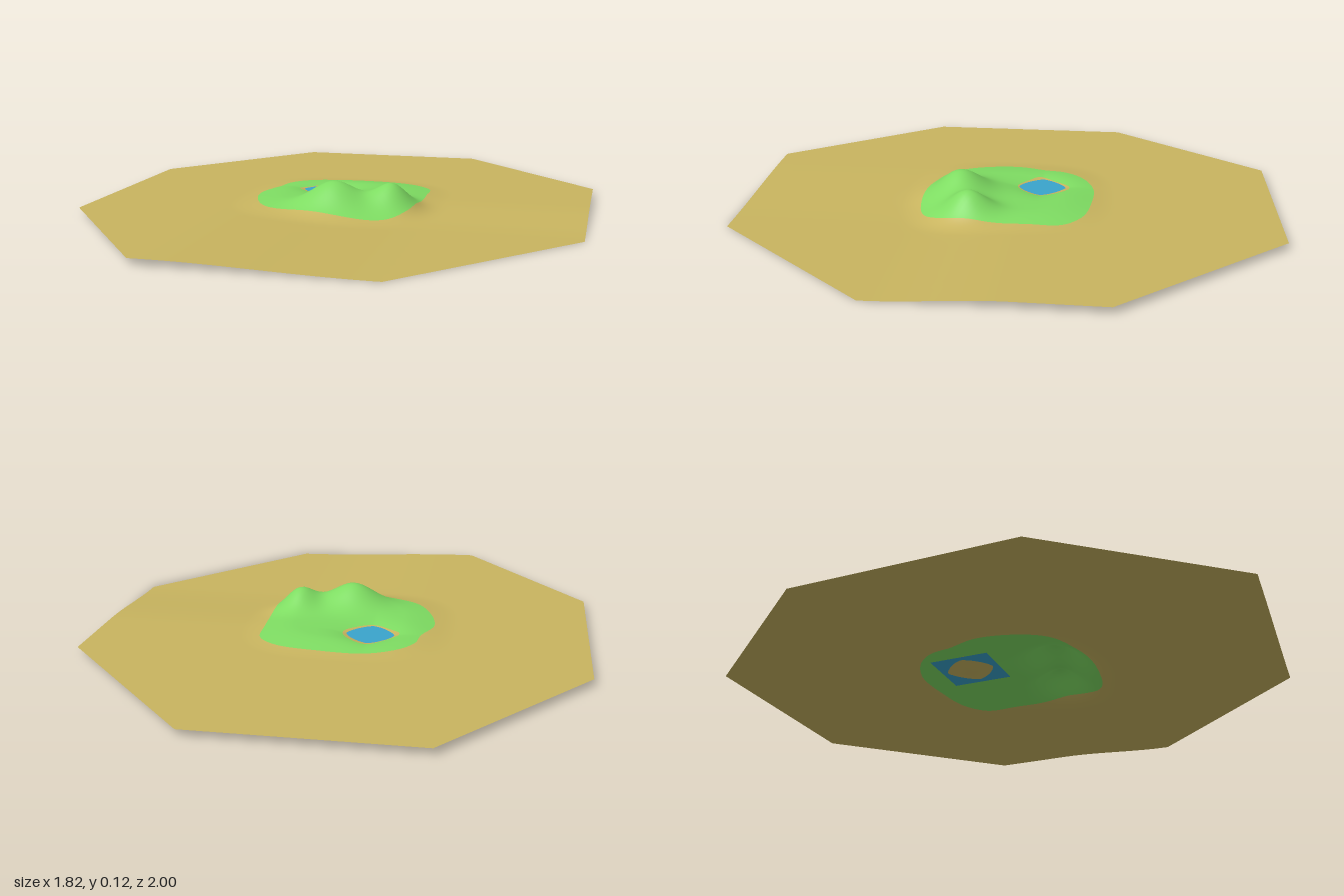
import * as THREE from 'three';

const material = (name, color) => Object.assign(
  new THREE.MeshStandardMaterial({ color, side: THREE.DoubleSide }), { name });

// Pond centre, which is also the hub of the surface loops
const PX = -0.113, PZ = -0.122, WATER_Y = 0.032;

const gauss = (x, z, cx, cz, sx, sz) =>
  Math.exp(-((x - cx) ** 2) / (2 * sx * sx) - ((z - cz) ** 2) / (2 * sz * sz));
const norm = (a, b, p) => (Math.abs(a) ** p + Math.abs(b) ** p) ** (1 / p);

// Height of the land: plain, raised meadow, two hilltops and a pond basin
function height(x, z) {
  const { smoothstep } = THREE.MathUtils;
  const plain = 0.028 - 0.023 * smoothstep(x, -0.4, 0.35) * smoothstep(z, -0.1, 0.37);
  const meadow = 0.02 * (1 - smoothstep(norm(x + 0.02, z, 3), 0.2, 0.4));
  const hills = 0.089 * gauss(x, z, 0, 0.18, 0.082, 0.075)
    + 0.079 * gauss(x, z, 0.2, 0.125, 0.055, 0.065);
  const d = norm(x - PX, z - PZ, 1.4);
  return plain + meadow + hills - 0.03 * Math.exp(-d * d / (2 * 0.08 * 0.08));
}

const toPoints = (list) => list.map(([x, z]) => new THREE.Vector2(x, z));
const smoothLoop = (list) => new THREE.CatmullRomCurve3(
  list.map(([x, z]) => new THREE.Vector3(x, 0, z)), true)
  .getPoints(120).slice(0, -1).map((p) => new THREE.Vector2(p.x, p.z));

// Distance from the hub to a loop along a given angle
function reach(loop, angle) {
  const dx = Math.cos(angle), dz = Math.sin(angle);
  let best = 0;
  loop.forEach((a, i) => {
    const b = loop[(i + 1) % loop.length];
    const ex = b.x - a.x, ez = b.y - a.y, ax = a.x - PX, az = a.y - PZ;
    const det = dx * ez - dz * ex;
    if (Math.abs(det) < 1e-9) return;
    const t = (ax * ez - az * ex) / det;
    const s = (ax * dz - az * dx) / det;
    if (s >= -1e-6 && s <= 1 + 1e-6) best = Math.max(best, t);
  });
  return best;
}

// Land between two loops of radii, following the height rule
function landBand(angles, inner, outer, rings, power) {
  const pos = [], nor = [], idx = [], n = angles.length, e = 0.003;
  for (let j = 0; j <= rings; j++) {
    const t = (j / rings) ** power;
    angles.forEach((a, i) => {
      const r = inner[i] + (outer[i] - inner[i]) * t;
      const x = PX + r * Math.cos(a), z = PZ + r * Math.sin(a);
      pos.push(x, height(x, z), z);
      const normal = new THREE.Vector3(
        height(x - e, z) - height(x + e, z), 2 * e,
        height(x, z - e) - height(x, z + e)).normalize();
      nor.push(normal.x, normal.y, normal.z);
      if (j === rings) return;
      const k = (i + 1) % n, p = j * n, q = p + n;
      idx.push(p + i, p + k, q + i, p + k, q + k, q + i);
    });
  }
  const geo = new THREE.BufferGeometry();
  geo.setAttribute('position', new THREE.Float32BufferAttribute(pos, 3));
  geo.setAttribute('normal', new THREE.Float32BufferAttribute(nor, 3));
  geo.setIndex(idx);
  return geo;
}

export function createModel() {
  const sand = material('sand', 0xc8b45f);
  const grass = material('grass', 0x7edc62);
  const water = material('water', 0x3aa4cc);
  const group = new THREE.Group();
  group.name = 'island';
  const add = (name, geo, mat) => {
    const mesh = new THREE.Mesh(geo, mat);
    mesh.name = name;
    group.add(mesh);
    return mesh;
  };

  // Outlines in plan (x, z)
  const plainEdge = toPoints([[-0.42, -1], [0.35, -1], [0.905, -0.41], [0.895, 0.37],
    [0.35, 0.98], [-0.43, 1], [-0.91, 0.4], [-0.905, -0.41]]);
  const meadowEdge = smoothLoop([[-0.34, 0], [-0.3, -0.12], [-0.285, -0.2], [-0.23, -0.27],
    [-0.12, -0.32], [0.05, -0.32], [0.2, -0.29], [0.28, -0.22], [0.29, -0.1], [0.29, 0.1],
    [0.27, 0.2], [0.2, 0.29], [0.05, 0.32], [-0.1, 0.3], [-0.24, 0.25], [-0.31, 0.14]]);
  const pondEdge = smoothLoop([[-0.22, -0.11], [-0.185, -0.165], [-0.113, -0.23],
    [-0.05, -0.2], [-0.01, -0.12], [-0.035, -0.075], [-0.113, -0.027], [-0.18, -0.065]]);

  // Even angles plus the exact corners of the plain
  const angles = plainEdge.map((p) => Math.atan2(p.y - PZ, p.x - PX));
  for (let i = 0; i < 160; i++) angles.push(-Math.PI + (i + 0.5) * Math.PI / 80);
  angles.sort((a, b) => a - b);
  const radii = (loop) => angles.map((a) => reach(loop, a));
  const pond = radii(pondEdge), meadow = radii(meadowEdge), plain = radii(plainEdge);

  // Land
  add('pondBasin', landBand(angles, angles.map(() => 0), pond, 10, 1), sand);
  add('grassyHill', landBand(angles, pond, meadow, 36, 1), grass);
  add('sandPlain', landBand(angles, meadow, plain, 32, 2), sand);

  // Square sheet of water, cut off by the banks of the basin
  const sheet = add('pondWater', new THREE.PlaneGeometry(0.226, 0.226).rotateX(-Math.PI / 2), water);
  sheet.position.set(PX, WATER_Y, PZ);
  return group;
}
